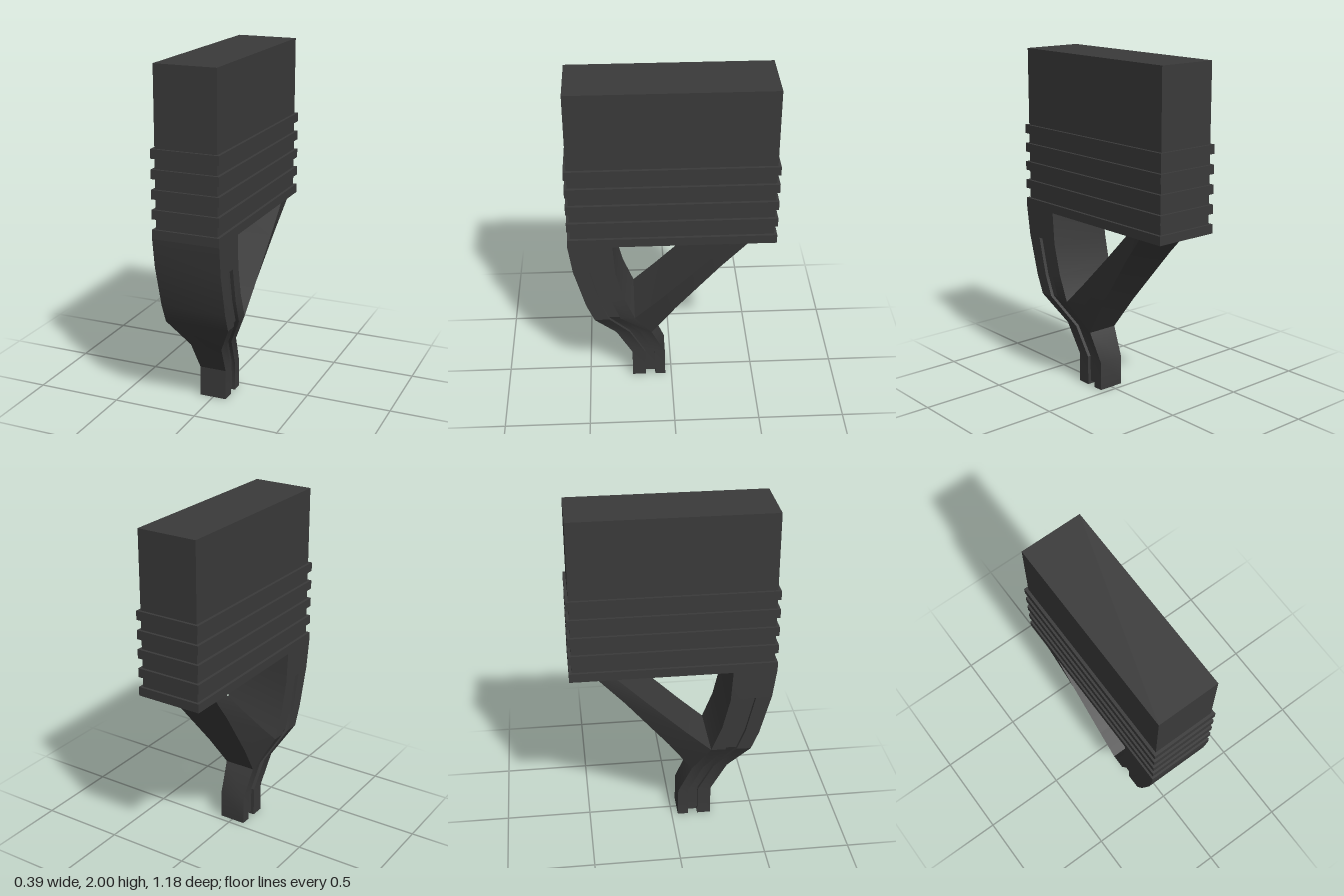
import * as THREE from 'three';
import { toCreasedNormals } from 'three/addons/utils/BufferGeometryUtils.js';

const material = new THREE.MeshStandardMaterial({ color: 0x3a3a3a });

// Skins a stack of mirrored rings, listed top to bottom. Each ring holds the
// +x half from front to back as [x, y, z]; the -x half is mirrored.
function loft(halfRings, closeBottom) {
  const rings = halfRings.map((half) => [
    ...half,
    ...half.map(([x, y, z]) => [-x, y, z]).reverse(),
  ]);
  const n = rings[0].length;
  const positions = [];
  const triangle = (...corners) => {
    const [a, b, c] = corners.map((p) => new THREE.Vector3(...p));
    if (b.clone().sub(a).cross(c.clone().sub(a)).length() < 1e-8) return;
    positions.push(...corners.flat());
  };
  const quad = (a, b, c, d) => {
    triangle(a, b, c);
    triangle(a, c, d);
  };
  for (let r = 0; r < rings.length - 1; r++) {
    const top = rings[r];
    const low = rings[r + 1];
    for (let i = 0; i < n; i++) {
      const j = (i + 1) % n;
      quad(top[i], low[i], low[j], top[j]);
    }
  }
  if (closeBottom) {
    const p = rings[rings.length - 1];
    for (let i = 0; i < n / 2 - 1; i++) quad(p[i], p[n - 1 - i], p[n - 2 - i], p[i + 1]);
  }
  const geometry = new THREE.BufferGeometry();
  geometry.setAttribute('position', new THREE.Float32BufferAttribute(positions, 3));
  return toCreasedNormals(geometry, 0.45);
}

export function createModel() {
  const model = new THREE.Group();
  model.name = 'bracedHandle';

  const add = (name, geometry, x = 0, y = 0, z = 0) => {
    const mesh = new THREE.Mesh(geometry, material);
    mesh.name = name;
    mesh.position.set(x, y, z);
    model.add(mesh);
  };
  const addBox = (name, width, y0, y1, z0, z1) =>
    add(name, new THREE.BoxGeometry(width, y1 - y0, z1 - z0), 0, (y0 + y1) / 2, (z0 + z1) / 2);

  // Upper block with five raised bands
  addBox('block', 0.36, 1.06, 2, -0.572, 0.572);
  for (let i = 0; i < 5; i++) {
    const y = 1.055 + i * 0.111;
    addBox('band', 0.394, y, y + 0.052, -0.588, 0.588);
  }

  // Curved leg: front z, y; back z, y; half width; groove front z, back z; groove depth
  const legStations = [
    [0.588, 1.06, 0.337, 1.06, 0.197, 0.5, 0.43, 0],
    [0.565, 0.885, 0.325, 0.87, 0.195, 0.472, 0.402, 0],
    [0.565, 0.885, 0.325, 0.87, 0.195, 0.472, 0.402, 0.02],
    [0.5, 0.64, 0.282, 0.69, 0.192, 0.42, 0.355, 0.02],
    [0.455, 0.53, 0.22, 0.535, 0.19, 0.37, 0.303, 0.02],
    [0.332, 0.355, 0.12, 0.345, 0.095, 0.252, 0.187, 0.02],
    [0.238, 0.18, 0.04, 0.175, 0.08, 0.16, 0.102, 0.02],
    [0.238, 0.018, 0.038, 0.018, 0.08, 0.158, 0.1, 0.02],
  ];
  const legRings = legStations.map(([zf, yf, zb, yb, w, g1, g2, depth]) => {
    const at = (x, z) => [x, THREE.MathUtils.mapLinear(z, zf, zb, yf, yb), z];
    return [at(w, zf), at(w, g1), at(w - depth, g1), at(w - depth, g2), at(w, g2), at(w, zb)];
  });
  add('leg', loft(legRings, true));

  // Two foot pads either side of the groove
  addBox('frontFoot', 0.16, 0, 0.018, 0.158, 0.238);
  addBox('backFoot', 0.16, 0, 0.018, 0.038, 0.1);

  // Diagonal brace: front half width, y, z; back half width, y, z
  const braceRings = [
    [[0.197, 1.06, -0.325], [0.197, 1.06, -0.428]],
    [[0.195, 0.9, -0.165], [0.172, 0.885, -0.28]],
    [[0.192, 0.66, 0.083], [0.125, 0.55, -0.022]],
    [[0.19, 0.535, 0.22], [0.095, 0.345, 0.12]],
  ];
  add('brace', loft(braceRings, false));

  return model;
}
